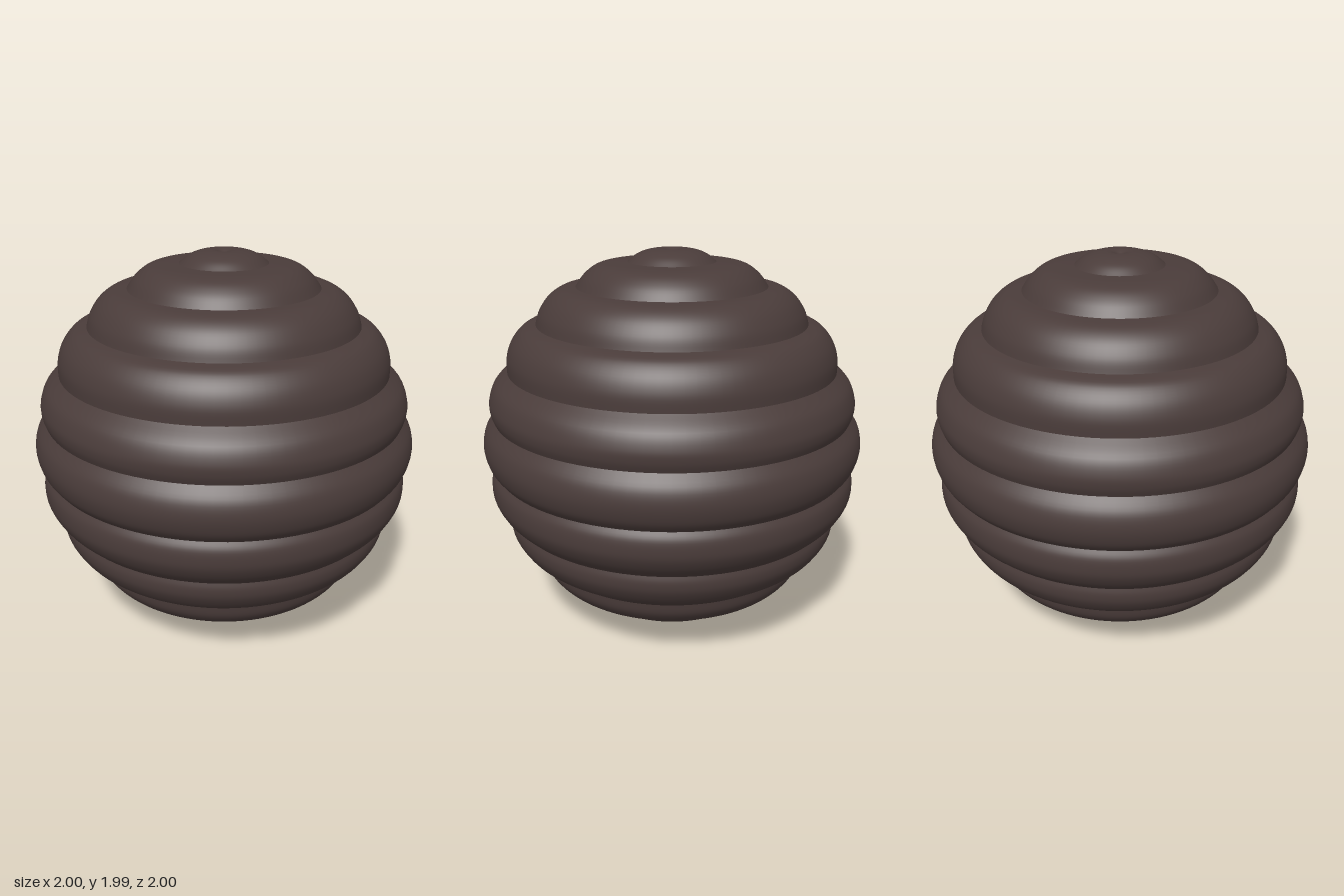
import * as THREE from 'three';

// Outline (radius, height) of each rounded tier, from the bottom up; neighbours share a groove point
const tiers = [
  [[0, 0.015], [0.04, 0.002], [0.14, 0], [0.2, 0.012], [0.255, 0.042], [0.28, 0.075]],
  [[0.28, 0.075], [0.37, 0.08], [0.44, 0.1], [0.5, 0.145], [0.53, 0.2]],
  [[0.53, 0.2], [0.58, 0.208], [0.66, 0.245], [0.715, 0.31], [0.73, 0.375]],
  [[0.73, 0.375], [0.765, 0.4], [0.83, 0.45], [0.875, 0.52], [0.885, 0.575], [0.877, 0.615]],
  [[0.877, 0.615], [0.93, 0.67], [0.965, 0.735], [0.972, 0.79], [0.965, 0.84], [0.945, 0.877]],
  [[0.945, 0.877], [0.982, 0.93], [1, 1.01], [0.985, 1.09], [0.94, 1.155]],
  [[0.94, 1.155], [0.955, 1.2], [0.955, 1.255], [0.925, 1.33], [0.856, 1.395]],
  [[0.856, 1.395], [0.853, 1.47], [0.825, 1.545], [0.77, 1.605], [0.7, 1.628]],
  [[0.7, 1.628], [0.68, 1.69], [0.635, 1.755], [0.57, 1.798], [0.49, 1.81]],
  [[0.49, 1.81], [0.45, 1.865], [0.39, 1.91], [0.32, 1.926], [0.225, 1.93]],
  [[0.225, 1.93], [0.18, 1.965], [0.12, 1.987], [0.05, 1.993], [0, 1.975]],
];

export function createModel() {
  const model = new THREE.Group();
  model.name = 'ribbedSphere';
  const darkBrown = new THREE.MeshStandardMaterial({ color: 0x4a3c3a });
  darkBrown.name = 'dark brown';

  // One smooth lathe per tier keeps the grooves between tiers crisp
  tiers.forEach((outline, i) => {
    const curve = new THREE.SplineCurve(outline.map(([r, y]) => new THREE.Vector2(r, y)));
    const points = curve.getPoints(20);
    points.forEach((p) => { p.x = Math.max(0, p.x); });
    const tier = new THREE.Mesh(new THREE.LatheGeometry(points, 96), darkBrown);
    tier.name = `tier${i + 1}`;
    model.add(tier);
  });
  return model;
}
